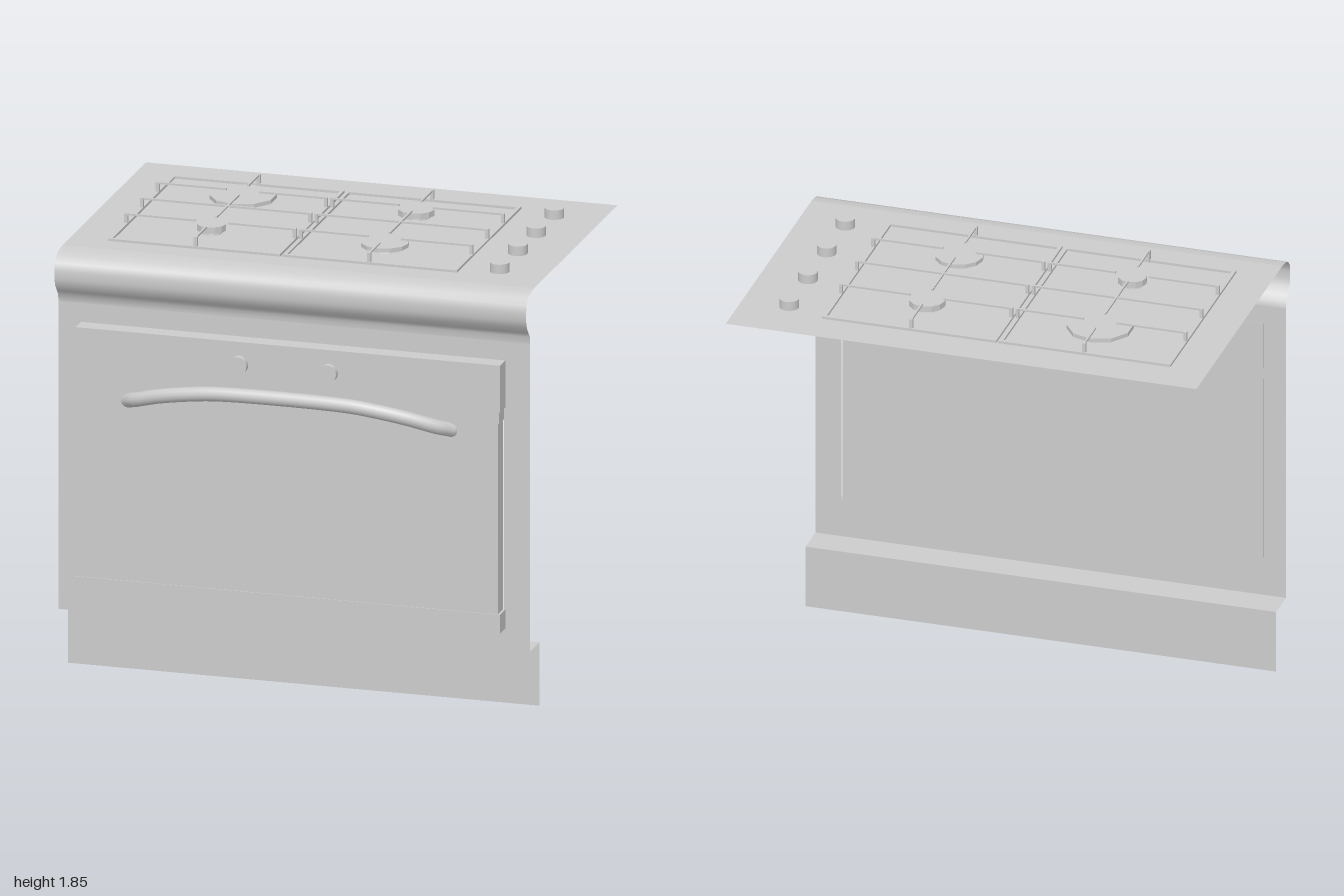
import * as THREE from 'three';

const grey = new THREE.MeshStandardMaterial({ color: 0xcccccc });
const sheet = new THREE.MeshStandardMaterial({ color: 0xcccccc, side: THREE.DoubleSide });
const flat = new THREE.MeshStandardMaterial({ color: 0xcccccc, flatShading: true });

const TOP = 1.8;    // height of the worktop
const FACE = 0.505; // z of the front sheet

export function createModel() {
  const root = new THREE.Group();

  const add = (name, geo, mat = grey, parent = root) => {
    const mesh = new THREE.Mesh(geo, mat);
    mesh.name = name;
    parent.add(mesh);
    return mesh;
  };
  // Box given by its limits on each axis
  const box = (name, x0, x1, y0, y1, z0, z1, parent = root) => {
    const m = add(name, new THREE.BoxGeometry(x1 - x0, y1 - y0, z1 - z0), grey, parent);
    m.position.set((x0 + x1) / 2, (y0 + y1) / 2, (z0 + z1) / 2);
    return m;
  };
  const rect = (C, x0, x1, y0, y1) => new C([[x0, y0], [x1, y0], [x1, y1], [x0, y1]]
    .map(([x, y]) => new THREE.Vector2(x, y)));
  const frameShape = (outer, inner) => {
    const s = rect(THREE.Shape, ...outer);
    s.holes.push(rect(THREE.Path, ...inner));
    return s;
  };
  // Open sheet spanning the full width along a (z, y) profile
  const strip = (name, pts) => {
    const geo = new THREE.PlaneGeometry(2, 1, 1, pts.length - 1);
    const p = geo.attributes.position;
    for (let i = 0; i < p.count; i++) {
      const [z, y] = pts[Math.floor(i / 2)];
      p.setXYZ(i, p.getX(i), y, z);
    }
    geo.computeVertexNormals();
    return add(name, geo, sheet);
  };

  // Worktop sheet with an opening for the hob plate
  const worktop = add('worktop', new THREE.ShapeGeometry(
    frameShape([-1, 1, -0.45, 0.72], [-0.91, 0.91, -0.4, 0.62])), sheet);
  worktop.rotation.x = -Math.PI / 2;
  worktop.position.y = TOP;
  box('hobPlate', -0.91, 0.91, TOP - 0.004, TOP, -0.62, 0.4);

  // Rounded front edge, front sheet with door opening, and plinth
  strip('roundedEdge', [[0.45, TOP], [0.495, 1.795], [0.53, 1.782], [0.555, 1.757], [0.561, 1.725],
    [0.56, 1.69], [0.55, 1.66], [0.525, 1.63], [0.508, 1.61], [FACE, 1.58]]);
  add('frontSheet', new THREE.ShapeGeometry(
    frameShape([-1, 1, 0.27, 1.58], [-0.9, 0.89, 0.365, 1.495])), sheet).position.z = FACE;
  strip('plinthLedge', [[FACE, 0.27], [0.37, 0.27]]);
  strip('plinth', [[0.37, 0.27], [0.37, 0]]);

  // Oven front: control panel, hinge strip, door and bottom rail
  box('controlPanel', -0.905, 0.895, 1.3, 1.5, 0.503, 0.58);
  box('hingeStrip', -0.9, 0.89, 1.25, 1.3, 0.503, 0.576);
  box('ovenDoor', -0.905, 0.885, 0.44, 1.25, 0.503, 0.576);
  box('bottomRail', -0.91, 0.895, 0.36, 0.44, 0.503, 0.58);

  for (const x of [-0.21, 0.17]) {
    const knob = add('ovenKnob', new THREE.CylinderGeometry(0.038, 0.038, 0.035, 20));
    knob.rotation.x = Math.PI / 2;
    knob.position.set(x, 1.405, 0.59);
  }

  // Bowed door handle
  const half = [[0.685, 1.205, 0.565], [0.64, 1.225, 0.61], [0.53, 1.262, 0.652], [0.4, 1.288, 0.672], [0.27, 1.303, 0.68]];
  const path = [...half.map(([x, y, z]) => [-x, y, z]), ...half.slice().reverse()];
  const curve = new THREE.CatmullRomCurve3(path.map(p => new THREE.Vector3(...p)));
  add('doorHandle', new THREE.TubeGeometry(curve, 40, 0.03, 12), sheet);
  for (const s of [-1, 1]) {
    const end = add('handleEnd', new THREE.SphereGeometry(0.03, 12, 8));
    end.position.set(s * 0.685, 1.205, 0.565);
  }

  // Hob dials
  for (const z of [-0.495, -0.24, 0.015, 0.27]) {
    add('hobDial', new THREE.CylinderGeometry(0.04, 0.04, 0.04, 16)).position.set(0.8, TOP + 0.02, z);
  }

  // Burners: narrow base under a wide cap
  const burners = [[-0.47, -0.33, 0.137, 1.83, 10], [0.265, -0.33, 0.076, 1.838, 12],
    [-0.47, 0.11, 0.06, 1.84, 12], [0.265, 0.11, 0.1, 1.83, 12]];
  for (const [x, z, r, y, sides] of burners) {
    const burner = new THREE.Group();
    burner.name = 'burner';
    burner.position.set(x, 0, z);
    root.add(burner);
    add('burnerBase', new THREE.CylinderGeometry(r * 0.7, r * 0.75, 0.015, sides), flat, burner).position.y = TOP + 0.0075;
    add('burnerCap', new THREE.CylinderGeometry(r, r, y - 1.813, sides), flat, burner).position.y = (y + 1.813) / 2;
  }

  // Pan supports: low frame, with raised bars standing on short legs
  const Y0 = 1.842, Y1 = 1.85, W = 0.004;
  for (const [x0, x1, cx] of [[-0.84, -0.11, -0.47], [-0.1, 0.64, 0.265]]) {
    const grate = new THREE.Group();
    grate.name = 'panSupport';
    root.add(grate);
    const frame = add('supportFrame', new THREE.ExtrudeGeometry(
      frameShape([x0, x1, -0.34, 0.56], [x0 + 0.016, x1 - 0.016, -0.324, 0.544]),
      { depth: 0.01, bevelEnabled: false }), grey, grate);
    frame.rotation.x = -Math.PI / 2;
    frame.position.y = TOP;

    const a = x0 + 0.008, b = x1 - 0.008;
    const barX = (s, e, z) => box('supportBar', s, e, Y0, Y1, z - W, z + W, grate);
    const barZ = (s, e) => box('supportBar', cx - W, cx + W, Y0, Y1, s, e, grate);
    const leg = (x, z) => box('supportLeg', x - 0.007, x + 0.007, TOP, Y1, z - 0.007, z + 0.007, grate);

    barX(a, b, -0.11);
    barZ(-0.265, 0.045);
    for (const z of [-0.33, 0.11]) {
      barX(a, cx - 0.07, z);
      barX(cx + 0.07, b, z);
    }
    barZ(-0.552, -0.4);
    barZ(0.185, 0.332);
    for (const z of [-0.33, -0.11, 0.11]) [a, b].forEach(x => leg(x, z));
    for (const z of [-0.55, 0.33]) leg(cx, z);
  }
  return root;
}
